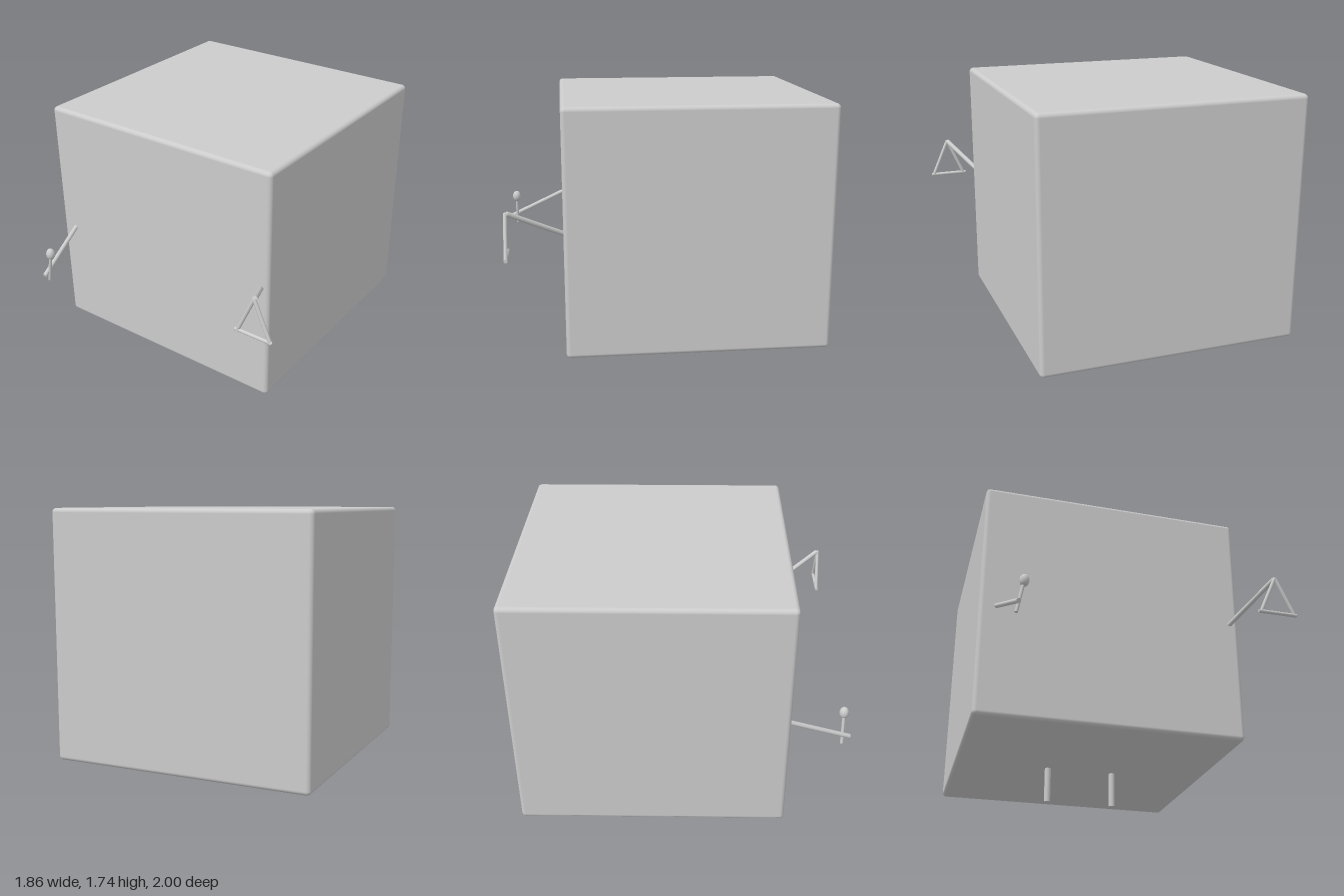
import * as THREE from 'three';
import { RoundedBoxGeometry } from 'three/addons/geometries/RoundedBoxGeometry.js';

const material = new THREE.MeshStandardMaterial({ color: 0xcccccc });

function add(parent, name, geometry, position) {
  const mesh = new THREE.Mesh(geometry, material);
  mesh.name = name;
  mesh.position.set(...position);
  parent.add(mesh);
  return mesh;
}

// Round bar between two points
function addRod(parent, name, from, to, radius) {
  const a = new THREE.Vector3(...from);
  const b = new THREE.Vector3(...to);
  const dir = b.clone().sub(a);
  const mid = a.clone().add(b).multiplyScalar(0.5);
  const rod = add(parent, name, new THREE.CylinderGeometry(radius, radius, dir.length(), 24), mid.toArray());
  rod.quaternion.setFromUnitVectors(new THREE.Vector3(0, 1, 0), dir.normalize());
  return rod;
}

export function createModel() {
  const model = new THREE.Group();
  model.name = 'cubeMusician';

  // Rounded cube body
  add(model, 'body', new RoundedBoxGeometry(1.62, 1.515, 1.62, 5, 0.026), [-0.12, 0.9775, -0.19]);

  // Legs
  for (const [name, x] of [['rightLeg', -0.335], ['leftLeg', 0.09]]) {
    addRod(model, name, [x, 0, -0.19], [x, 0.25, -0.19], 0.02);
  }

  // Arms reaching forward
  addRod(model, 'rightArm', [-0.832, 0.918, 0.6], [-0.757, 0.75, 0.995], 0.014);
  addRod(model, 'leftArm', [0.63, 0.985, 0.605], [0.806, 1.163, 0.932], 0.015);

  // Beater in the right hand
  const beater = new THREE.Group();
  beater.name = 'beater';
  addRod(beater, 'beaterStick', [-0.762, 0.7, 0.953], [-0.728, 0.89, 0.953], 0.01);
  add(beater, 'beaterHead', new THREE.SphereGeometry(0.028, 32, 20), [-0.725, 0.904, 0.953]).scale.y = 1.35;
  model.add(beater);

  // Triangle hanging from the left hand
  const triangle = new THREE.Group();
  triangle.name = 'triangle';
  const apex = [0.807, 1.165, 0.94];
  addRod(triangle, 'triangleBase', [0.685, 0.924, 0.94], [0.928, 0.924, 0.94], 0.011);
  for (const [name, x] of [['triangleRightSide', 0.699], ['triangleLeftSide', 0.915]]) {
    addRod(triangle, name, [x, 0.92, 0.94], apex, 0.011);
  }
  model.add(triangle);

  return model;
}
